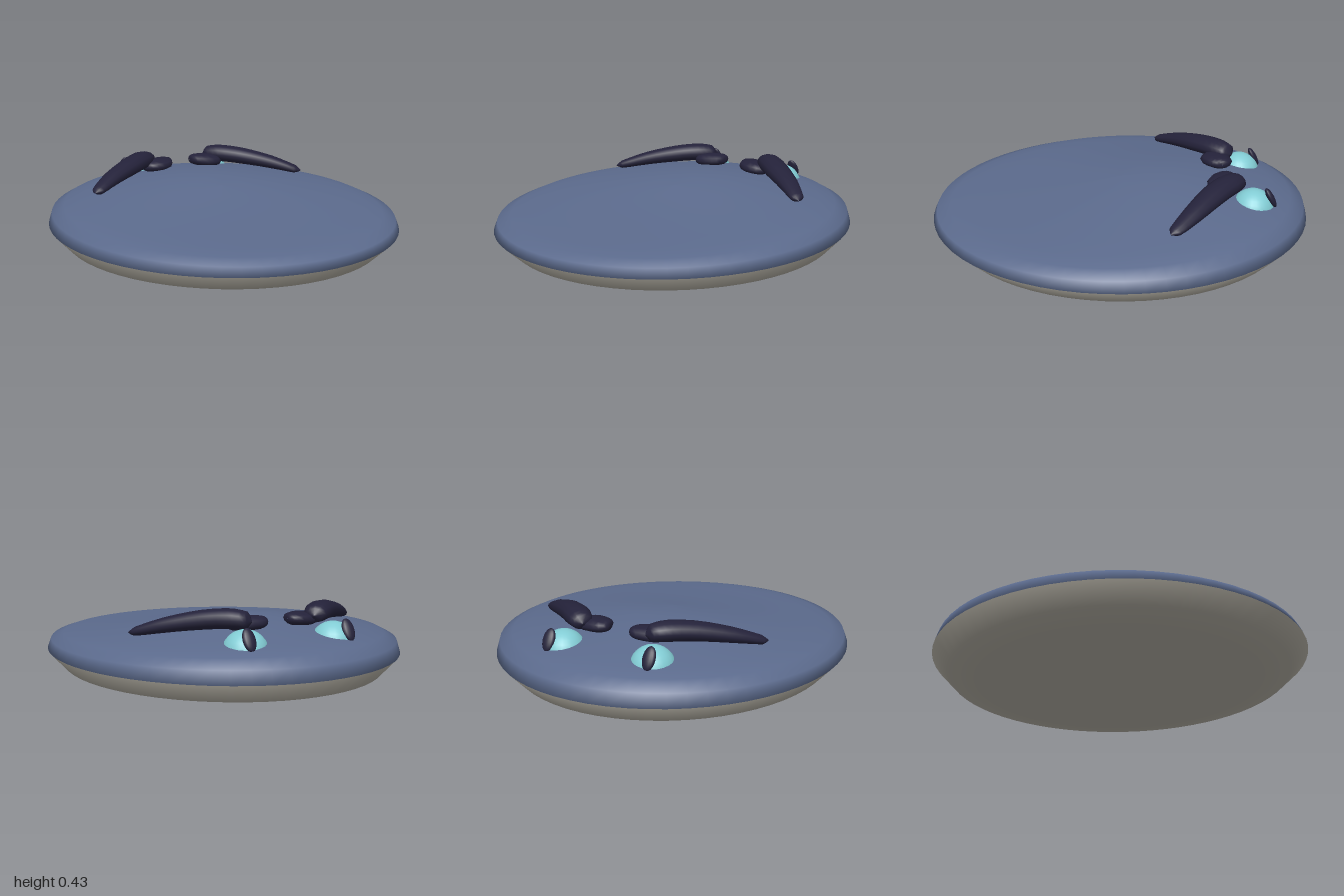
import * as THREE from 'three';

const mat = (name, color) => {
  const m = new THREE.MeshStandardMaterial({ color });
  m.name = name;
  return m;
};

// Closed skin made of rings; each ring is a function of the angle.
function loft(rings, sides, point) {
  const pos = [], idx = [];
  rings.forEach((ring) => {
    for (let j = 0; j < sides; j++) pos.push(...point(ring, (j / sides) * Math.PI * 2));
  });
  for (let i = 0; i < rings.length - 1; i++) {
    for (let j = 0; j < sides; j++) {
      const a = i * sides + j, b = i * sides + (j + 1) % sides, c = a + sides, d = b + sides;
      idx.push(a, c, b, b, c, d);
    }
  }
  const g = new THREE.BufferGeometry();
  g.setAttribute('position', new THREE.Float32BufferAttribute(pos, 3));
  g.setIndex(idx);
  g.computeVertexNormals();
  return g;
}

// Tapered tube along a smooth path; stations are [x, y, z, width, height].
function taperedTube(stations, steps, sides) {
  const path = new THREE.CatmullRomCurve3(stations.map((s) => new THREE.Vector3(s[0], s[1], s[2])));
  const sizes = new THREE.CatmullRomCurve3(stations.map((s) => new THREE.Vector3(s[3], s[4], 0)));
  const up = new THREE.Vector3(0, 1, 0);
  const rings = [];
  for (let i = 0; i <= steps; i++) {
    const t = i / steps;
    const side = path.getTangent(t).cross(up).normalize();
    rings.push({ c: path.getPoint(t), s: sizes.getPoint(t), side });
  }
  return loft(rings, sides, ({ c, s, side }, a) => {
    const w = Math.cos(a) * s.x;
    return [c.x + side.x * w, c.y + Math.sin(a) * s.y, c.z + side.z * w];
  });
}

export function createModel() {
  const group = new THREE.Group();
  const blue = mat('slate blue', 0x5b6a8c);
  const belly = mat('warm grey', 0xaeaa9f);
  const teal = mat('pale teal', 0x82ccd4);
  const dark = mat('dark navy', 0x24223a);

  const add = (name, geometry, material, parent = group) => {
    const mesh = new THREE.Mesh(geometry, material);
    mesh.name = name;
    parent.add(mesh);
    return mesh;
  };

  // Flat oval body: [radius, height, rise towards the back], from top to bottom
  const profile = [
    [0.001, 0.327, 0], [0.15, 0.322, 0.021], [0.3, 0.313, 0.037], [0.5, 0.292, 0.041],
    [0.7, 0.268, 0.034], [0.82, 0.252, 0.028], [0.91, 0.235, 0.022], [0.98, 0.205, 0.012],
    [1, 0.15, 0], [0.91, 0.06, -0.006], [0.77, 0.036, -0.004], [0.55, 0.018, -0.002],
    [0.3, 0.006, 0], [0.001, 0, 0],
  ];
  const sides = 64;
  const bodyGeo = loft(profile, sides, ([r, y, tilt], a) => [
    Math.cos(a) * r * 0.917, y + Math.sin(a) * tilt, -Math.sin(a) * r,
  ]);
  const half = 8 * sides * 6; // indices above the seam
  bodyGeo.addGroup(0, half, 0);
  bodyGeo.addGroup(half, bodyGeo.index.count - half, 1);
  add('body', bodyGeo, [blue, belly]);

  // Eyes and brows, mirrored
  for (const s of [1, -1]) {
    const face = new THREE.Group();
    face.name = s > 0 ? 'leftEyeGroup' : 'rightEyeGroup';
    group.add(face);

    const eye = add('eye', new THREE.SphereGeometry(0.112, 24, 16), teal, face);
    eye.position.set(s * 0.247, 0.24, -0.68);

    // Upright slit pupil
    const pupil = add('pupil', new THREE.SphereGeometry(1, 16, 12), dark, face);
    pupil.scale.set(0.033, 0.058, 0.018);
    pupil.position.set(s * 0.275, 0.318, -0.763);
    pupil.rotation.set(0.5, 0, 0);

    // Long brow, thick over the eye and tapering outwards
    add('brow', taperedTube([
      [s * 0.635, 0.3, -0.225, 0.002, 0.002], [s * 0.61, 0.307, -0.25, 0.036, 0.022],
      [s * 0.5, 0.342, -0.345, 0.055, 0.038], [s * 0.36, 0.372, -0.455, 0.068, 0.048],
      [s * 0.26, 0.382, -0.54, 0.07, 0.05], [s * 0.195, 0.378, -0.6, 0.055, 0.042],
      [s * 0.175, 0.372, -0.62, 0.002, 0.002],
    ], 18, 12), dark, face);

    // Rounded inner end of the brow
    add('browRoot', taperedTube([
      [s * 0.25, 0.345, -0.51, 0.002, 0.002], [s * 0.235, 0.347, -0.515, 0.045, 0.025],
      [s * 0.17, 0.352, -0.53, 0.084, 0.036], [s * 0.095, 0.356, -0.555, 0.066, 0.032],
      [s * 0.065, 0.358, -0.56, 0.03, 0.02], [s * 0.06, 0.358, -0.56, 0.002, 0.002],
    ], 12, 12), dark, face);
  }
  return group;
}
